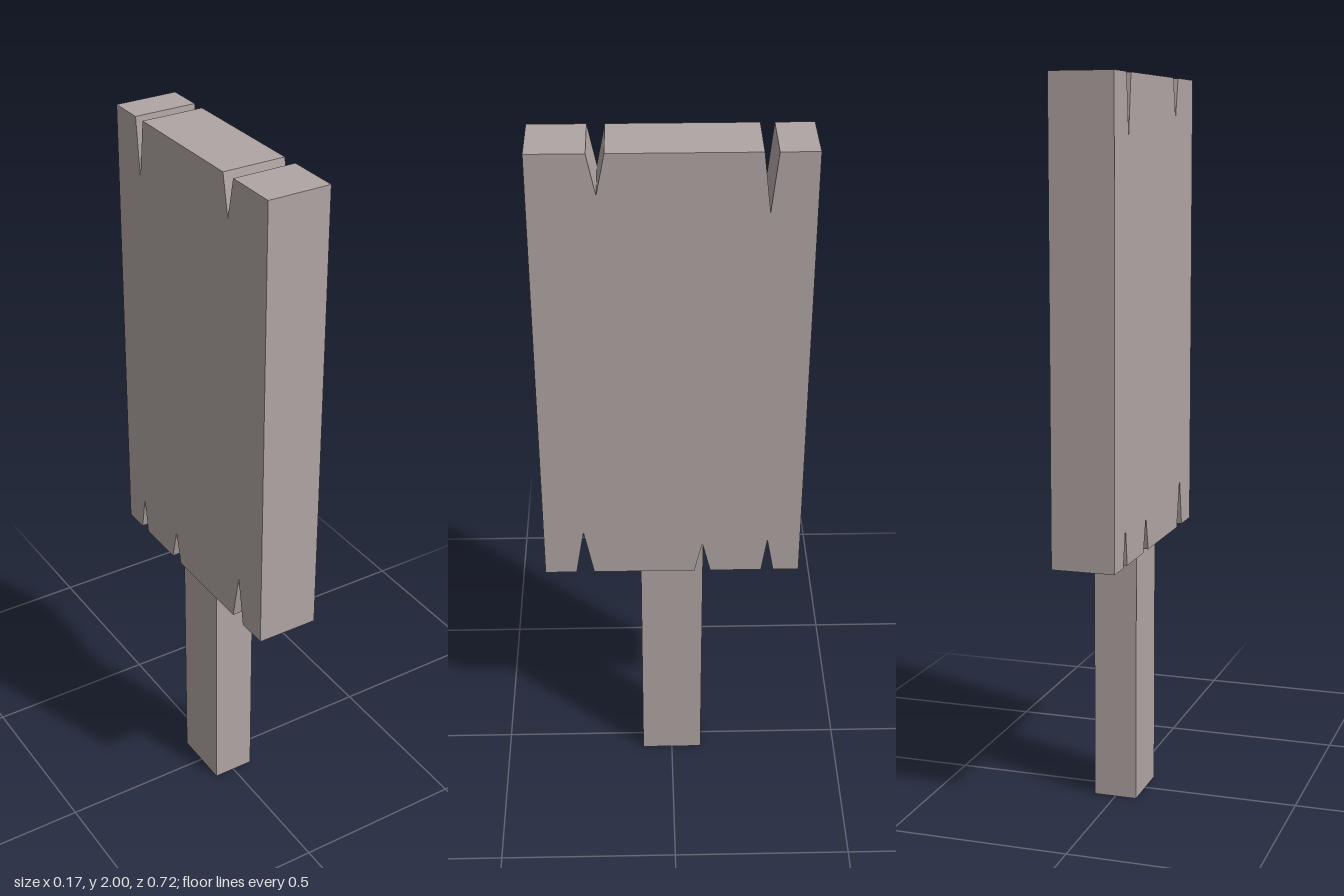
import * as THREE from 'three';

export function createModel() {
  const group = new THREE.Group();
  group.name = 'signpost';
  const wood = new THREE.MeshStandardMaterial({ color: 0xb0a5a4 });
  wood.name = 'weathered wood';

  const half = 0.358, bottom = 0.72, top = 2, thickness = 0.175;

  // Splits in the board edges: [z start, z tip, z end, y tip]
  const bottomSplits = [
    [-0.286, -0.267, -0.252, 0.825],
    [-0.108, -0.085, -0.063, 0.815],
    [0.22, 0.247, 0.27, 0.86],
  ];
  const topSplits = [
    [0.208, 0.185, 0.163, 1.89],
    [-0.222, -0.241, -0.258, 1.84],
  ];

  // Board outline in the z-y plane
  const outline = new THREE.Shape();
  const edge = (splits, y) => {
    for (const [start, tip, end, tipY] of splits) {
      outline.lineTo(start, y);
      outline.lineTo(tip, tipY);
      outline.lineTo(end, y);
    }
  };
  outline.moveTo(-half, bottom);
  edge(bottomSplits, bottom);
  outline.lineTo(half, bottom);
  outline.lineTo(half, top);
  edge(topSplits, top);
  outline.lineTo(-half, top);
  outline.closePath();

  // Board: extruded across x
  const boardGeometry = new THREE.ExtrudeGeometry(outline, { depth: thickness, bevelEnabled: false });
  boardGeometry.translate(0, 0, -thickness / 2);
  boardGeometry.rotateY(-Math.PI / 2);
  const board = new THREE.Mesh(boardGeometry, wood);
  board.name = 'board';
  group.add(board);

  // Post: its top is sunk into the board
  const postHeight = 0.79;
  const post = new THREE.Mesh(new THREE.BoxGeometry(0.122, postHeight, 0.176), wood);
  post.position.y = postHeight / 2;
  post.name = 'post';
  group.add(post);

  return group;
}
